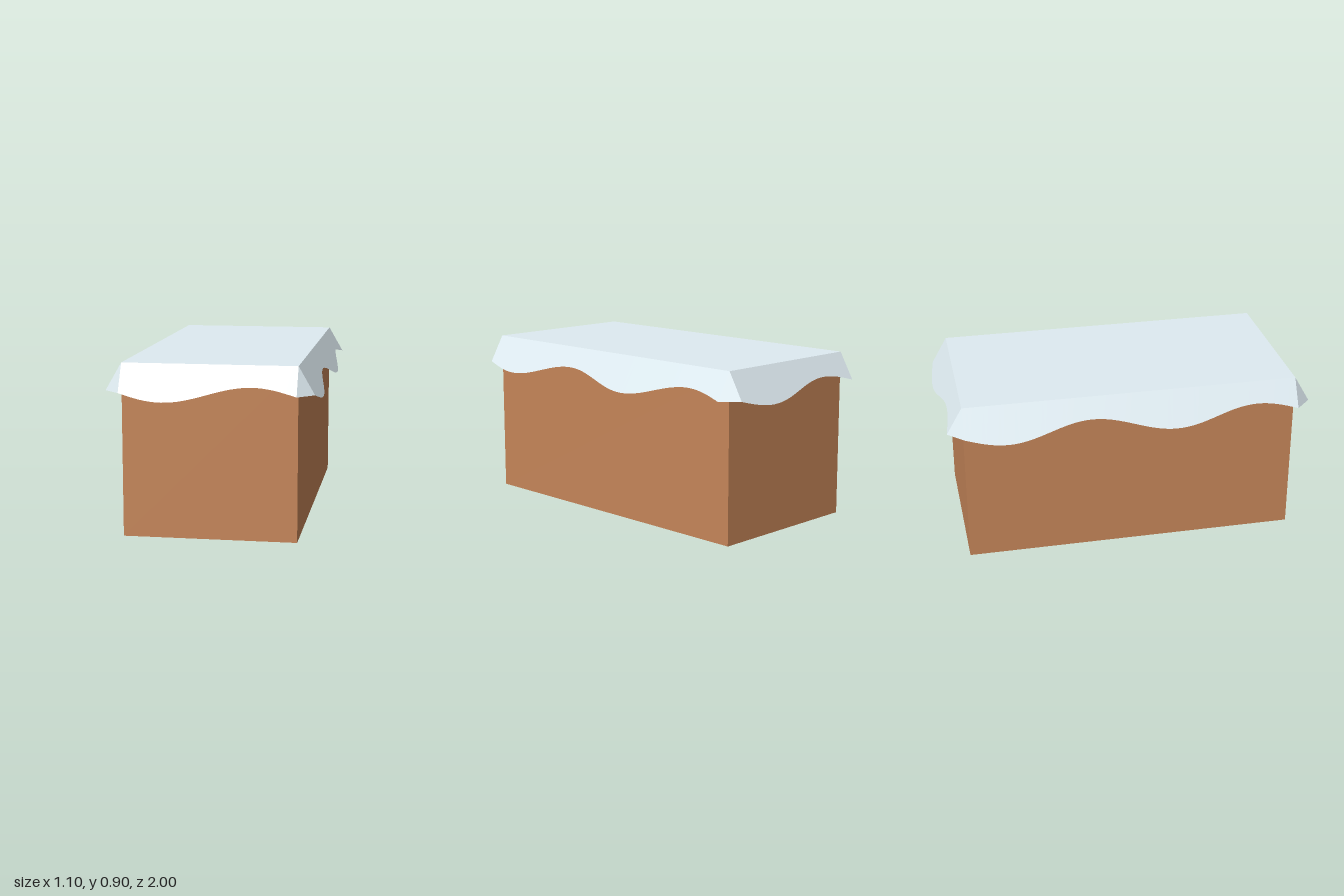
import * as THREE from 'three';

const HX = 0.447, HZ = 0.894, TOP = 0.897; // half width, half depth, height
const DROP = 0.165, WAVE = 0.045, TILT = Math.PI / 6; // flap length, wave height, outward lean

// Flap hanging along +z from the top edge, with a wavy lower hem
function flapGeometry(half, periods) {
  const geo = new THREE.PlaneGeometry(2 * half, 1, 32 * periods, 1);
  const pos = geo.attributes.position;
  for (let i = 0; i < pos.count; i++) {
    const x = pos.getX(i);
    const t = (x + half) / (2 * half);
    const len = pos.getY(i) > 0 ? 0 : DROP + WAVE * Math.sin(t * periods * 2 * Math.PI);
    pos.setXYZ(i, x, -len * Math.cos(TILT), len * Math.sin(TILT));
  }
  geo.computeVertexNormals();
  return geo;
}

// Triangle closing the gap between two neighbouring flaps
function cornerGeometry() {
  const out = DROP * Math.sin(TILT), down = -DROP * Math.cos(TILT);
  const geo = new THREE.BufferGeometry();
  geo.setAttribute('position', new THREE.Float32BufferAttribute([0, 0, 0, 0, down, out, out, down, 0], 3));
  geo.computeVertexNormals();
  return geo;
}

export function createModel() {
  const model = new THREE.Group();
  const brown = new THREE.MeshStandardMaterial({ color: 0xc68659 });
  const cloth = new THREE.MeshStandardMaterial({ color: 0xdfecf2, side: THREE.DoubleSide });

  const add = (name, geo, mat, x, y, z, turn = 0) => {
    const mesh = new THREE.Mesh(geo, mat);
    mesh.name = name;
    mesh.position.set(x, y, z);
    mesh.rotation.y = turn;
    model.add(mesh);
  };

  // Solid block
  add('block', new THREE.BoxGeometry(2 * HX, TOP - 0.002, 2 * HZ), brown, 0, (TOP - 0.002) / 2, 0);

  // Cover sheet on top
  add('coverTop', new THREE.PlaneGeometry(2 * HX, 2 * HZ).rotateX(-Math.PI / 2), cloth, 0, TOP, 0);

  // Flaps and corners, going round the four sides
  const endFlap = flapGeometry(HX, 1), sideFlap = flapGeometry(HZ, 2), corner = cornerGeometry();
  ['front', 'left', 'back', 'right'].forEach((side, i) => {
    const turn = i * Math.PI / 2;
    const sx = Math.round(Math.sin(turn)), sz = Math.round(Math.cos(turn));
    add(side + 'Flap', i % 2 ? sideFlap : endFlap, cloth, sx * HX, TOP, sz * HZ, turn);
    add(side + 'Corner', corner, cloth, (sx + sz) * HX, TOP, (sz - sx) * HZ, turn);
  });

  return model;
}
